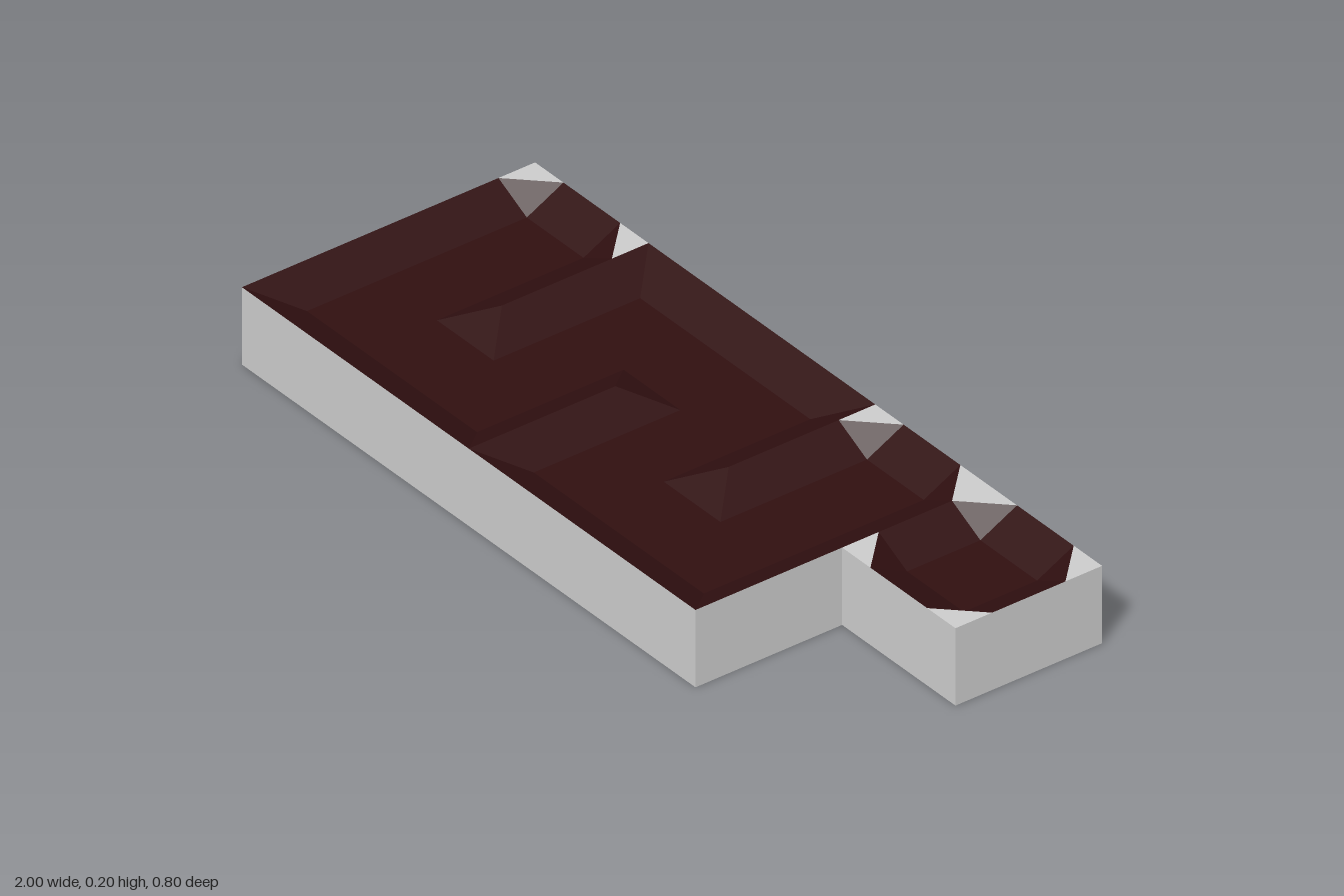
import * as THREE from 'three';

const TOP = 0.2, FLOOR = 0.15;

// Flat-shaded mesh from a list of polygons; degenerate triangles are dropped
function polygonMesh(name, polygons, material) {
  const points = [], tri = new THREE.Triangle();
  for (const poly of polygons) {
    for (let i = 1; i < poly.length - 1; i++) {
      tri.set(poly[0], poly[i], poly[i + 1]);
      if (tri.getArea() > 1e-6) points.push(poly[0], poly[i], poly[i + 1]);
    }
  }
  const geometry = new THREE.BufferGeometry().setFromPoints(points);
  geometry.computeVertexNormals();
  const mesh = new THREE.Mesh(geometry, material);
  mesh.name = name;
  return mesh;
}

const at = ([x, z], y) => new THREE.Vector3(x, y, z);

// Triangles filling a level outline of [x, z] points, facing up or down
function cap(outline, y, up = true) {
  const pts = outline.filter((p, i) => {
    const q = outline[(i + 1) % outline.length];
    return Math.hypot(p[0] - q[0], p[1] - q[1]) > 1e-6;
  });
  const flat = pts.map(([x, z]) => new THREE.Vector2(x, -z));
  return THREE.ShapeUtils.triangulateShape(flat, []).map((f) => {
    const t = f.map((i) => at(pts[i], y));
    return up ? t : t.reverse();
  });
}

// Basin: sloping banks from the rim to a level floor; rows are rim x, z, floor x, z
function basin(name, rows, material) {
  const rim = rows.map((r) => [r[0], r[1]]), floor = rows.map((r) => [r[2], r[3]]);
  const banks = rows.map((_, i) => {
    const j = (i + 1) % rows.length;
    return [at(rim[i], TOP), at(rim[j], TOP), at(floor[j], FLOOR), at(floor[i], FLOOR)];
  });
  const group = new THREE.Group();
  group.name = name;
  group.add(polygonMesh(name + 'Banks', banks, material));
  group.add(polygonMesh(name + 'Floor', cap(floor, FLOOR), material));
  return group;
}

export function createModel() {
  const model = new THREE.Group();
  model.name = 'channelTile';
  const grey = new THREE.MeshStandardMaterial({ color: 0xcccccc });
  const dark = new THREE.MeshStandardMaterial({ color: 0x300f10 });

  // Block: outer walls and underside
  const outline = [[-1, 0.4], [0.6, 0.4], [0.6, 0], [1, 0], [1, -0.4], [-1, -0.4]];
  const walls = outline.map((p, i) => {
    const q = outline[(i + 1) % outline.length];
    return [at(p, 0), at(q, 0), at(q, TOP), at(p, TOP)];
  });
  model.add(polygonMesh('blockWalls', walls, grey));
  model.add(polygonMesh('blockUnderside', cap(outline, 0, false), grey));

  // Level corner pieces: corner x, z and the direction into the cell
  const corners = [
    [-1, -0.4, 1, 1], [-0.6, -0.4, -1, 1], [0.2, -0.4, 1, 1], [0.6, -0.4, -1, 1],
    [0.6, -0.4, 1, 1], [1, -0.4, -1, 1], [0.6, 0, 1, -1], [1, 0, -1, -1],
  ].map(([x, z, sx, sz]) => {
    const t = [at([x, z], TOP), at([x, z + 0.1 * sz], TOP), at([x + 0.1 * sx, z], TOP)];
    return sx * sz > 0 ? t : t.reverse();
  });
  model.add(polygonMesh('cornerPieces', corners, grey));

  // Winding channel, folded around three sharp ridges
  model.add(basin('windingChannel', [
    [-1, 0.4, -0.9, 0.3], [-0.2, 0.4, -0.3, 0.3],
    [-0.2, 0, -0.3, -0.1], [-0.2, 0, -0.1, -0.1],
    [-0.2, 0.4, -0.1, 0.3], [0.6, 0.4, 0.5, 0.3],
    [0.6, -0.3, 0.5, -0.3], [0.5, -0.4, 0.5, -0.3],
    [0.3, -0.4, 0.3, -0.3], [0.2, -0.3, 0.3, -0.3],
    [0.2, 0, 0.3, 0.1], [0.2, 0, 0.1, 0.1],
    [0.2, -0.4, 0.1, -0.3], [-0.6, -0.4, -0.5, -0.3],
    [-0.6, 0, -0.5, 0.1], [-0.6, 0, -0.7, 0.1],
    [-0.6, -0.3, -0.7, -0.3], [-0.7, -0.4, -0.7, -0.3],
    [-0.9, -0.4, -0.9, -0.3], [-1, -0.3, -0.9, -0.3],
  ], dark));

  // Separate eight-sided basin on the projecting cell
  model.add(basin('smallBasin', [
    [0.7, 0, 0.7, -0.1], [0.9, 0, 0.9, -0.1],
    [1, -0.1, 0.9, -0.1], [1, -0.3, 0.9, -0.3],
    [0.9, -0.4, 0.9, -0.3], [0.7, -0.4, 0.7, -0.3],
    [0.6, -0.3, 0.7, -0.3], [0.6, -0.1, 0.7, -0.1],
  ], dark));

  return model;
}
